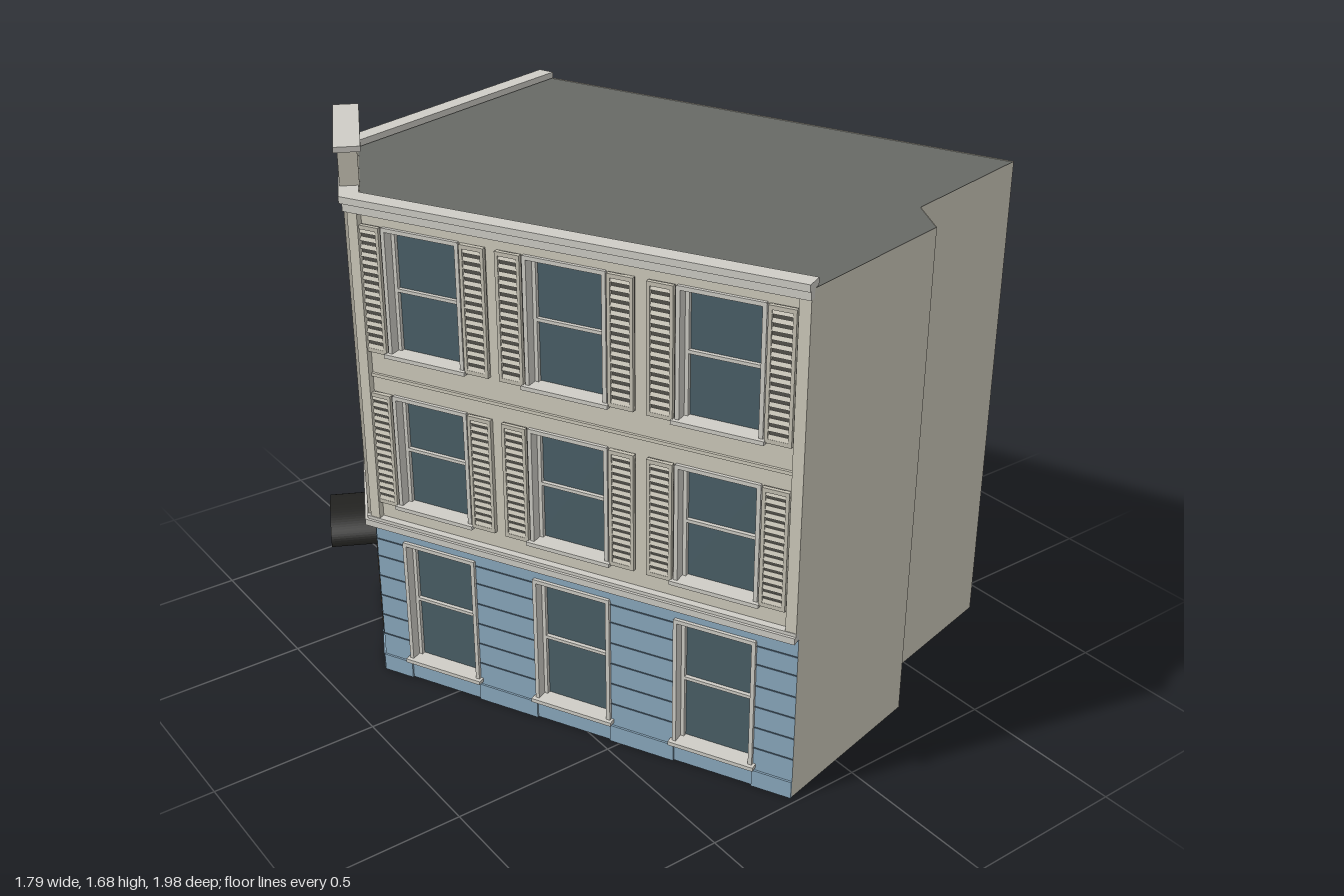
import * as THREE from 'three';

const mat = (color) => new THREE.MeshStandardMaterial({ color, side: THREE.DoubleSide });
const M = {
  blue: mat(0x8aa9bf), groove: mat(0x4c6070), wall: mat(0xcfcbbc), trim: mat(0xcfcdc6),
  shutter: mat(0xc4c0b2), dark: mat(0x55544e), glass: mat(0x4a5f67), roof: mat(0x676965),
  black: mat(0x222220), brown: mat(0x7a5a3a), green: mat(0x547266),
};

// Footprint corners [x, z], ordered so every wall's outside is its local +z
const A = [0.30, -0.96], G = [-0.60, -0.67], F = [-0.82, -0.24], E = [-0.21, 0.98];
const D = [0.325, 0.855], C = [0.40, 0.72], B = [0.895, 0.60];
const FLOOR = 0.53, TOP = 1.54;

function add(parent, name, geometry, material, x = 0, y = 0, z = 0) {
  const m = new THREE.Mesh(geometry, material);
  m.name = name;
  m.position.set(x, y, z);
  parent.add(m);
  return m;
}
const box = (parent, name, material, w, h, d, x, y, z) =>
  add(parent, name, new THREE.BoxGeometry(w, h, d), material, x, y, z);

// Local frame of a wall: x along it, y up, z outward
function wallGroup(root, name, P, Q) {
  const dx = Q[0] - P[0], dz = Q[1] - P[1];
  const g = new THREE.Group();
  g.name = name;
  g.position.set(P[0], 0, P[1]);
  g.rotation.y = Math.atan2(-dz, dx);
  g.userData.length = Math.hypot(dx, dz);
  root.add(g);
  return g;
}

function rectPath(Type, x0, y0, x1, y1) {
  return new Type([[x0, y0], [x1, y0], [x1, y1], [x0, y1]].map((p) => new THREE.Vector2(...p)));
}

function wallSheet(g, name, material, y0, y1, holes = []) {
  const s = rectPath(THREE.Shape, 0, y0, g.userData.length, y1);
  s.holes.push(...holes);
  add(g, name, new THREE.ShapeGeometry(s, 24), material);
}

// Recessed sash window: reveal, glass, rails and sill
function sashWindow(g, x, y0, y1, w) {
  const h = y1 - y0, cy = (y0 + y1) / 2, depth = 0.05, zc = -0.015;
  box(g, 'windowGlass', M.glass, w, h, 0.004, x, cy, -0.036);
  for (const s of [-1, 1]) {
    box(g, 'windowJamb', M.trim, 0.012, h, depth, x + s * (w / 2 - 0.004), cy, zc);
    box(g, 'windowStile', M.trim, 0.012, h, 0.012, x + s * (w / 2 - 0.015), cy, -0.028);
  }
  box(g, 'windowHead', M.trim, w, 0.012, depth, x, y1 - 0.004, zc);
  box(g, 'windowSill', M.trim, w + 0.02, 0.012, depth + 0.012, x, y0, zc + 0.006);
  box(g, 'sashRail', M.trim, w, 0.01, 0.012, x, cy, -0.028);
}

// Louvred shutter: dark backing, frame and tilted slats
function shutter(g, x, y0, y1, w) {
  const h = y1 - y0, cy = (y0 + y1) / 2, n = 16;
  box(g, 'shutterBack', M.dark, w, h, 0.004, x, cy, 0.003);
  for (const s of [-1, 1]) {
    box(g, 'shutterStile', M.shutter, 0.01, h, 0.014, x + s * (w / 2 - 0.005), cy, 0.007);
    box(g, 'shutterRail', M.shutter, w, 0.012, 0.014, x, cy + s * (h / 2 - 0.006), 0.007);
  }
  const slat = new THREE.BoxGeometry(w - 0.016, 0.013, 0.004);
  for (let i = 0; i < n; i++) {
    add(g, 'shutterSlat', slat, M.shutter, x, y0 + h * (i + 0.75) / (n + 0.5), 0.009).rotation.x = -0.4;
  }
}

// Thin masonry joints on the piers between the ground floor openings
function joints(g, openings) {
  const edges = [0, ...openings.flat(), g.userData.length];
  for (let i = 0; i < edges.length; i += 2) {
    const w = edges[i + 1] - edges[i];
    for (const y of [0.13, 0.2, 0.27, 0.34, 0.41, 0.47]) {
      box(g, 'masonryJoint', M.groove, w, 0.004, 0.002, edges[i] + w / 2, y, 0.001);
    }
  }
  for (let i = 0; i < edges.length; i += 2) {
    const w = edges[i + 1] - edges[i];
    box(g, 'plinth', M.blue, w, 0.055, 0.006, edges[i] + w / 2, 0.0275, 0.003);
  }
}

function pilasters(g) {
  for (const x of [0.016, g.userData.length - 0.016]) {
    box(g, 'cornerPilaster', M.wall, 0.032, 0.97, 0.02, x, 1.035, 0.01);
  }
}

// Facade with rows of windows, shutters on the two upper floors
function facade(root, name, P, Q, centres, w) {
  const g = wallGroup(root, name, P, Q), L = g.userData.length;
  const rows = [[0.07, 0.485], [0.61, 0.97], [1.1, 1.48]];
  const holes = rows.map(([a, b]) => centres.map((c) => rectPath(THREE.Path, c - w / 2, a, c + w / 2, b)));
  wallSheet(g, 'groundWall', M.blue, 0, FLOOR, holes[0]);
  wallSheet(g, 'upperWall', M.wall, FLOOR, TOP, [...holes[1], ...holes[2]]);
  rows.forEach(([a, b], row) => centres.forEach((c) => {
    sashWindow(g, c, a, b, w);
    if (row) for (const s of [-1, 1]) shutter(g, c + s * (w / 2 + 0.045), a, b, 0.076);
  }));
  joints(g, centres.map((c) => [c - w / 2, c + w / 2]));
  pilasters(g);
  box(g, 'stringCourse', M.wall, L - 0.06, 0.01, 0.008, L / 2, 1.025, 0.004);
  return g;
}

// Footprint-plane shape to horizontal geometry
const flatShape = (pts) => new THREE.Shape(pts.map(([x, z]) => new THREE.Vector2(x, -z)));

// Mitred offset of a polyline, positive outward
function offsetPath(pts, d) {
  const normal = (p, q) => new THREE.Vector2(p[1] - q[1], q[0] - p[0]).normalize();
  return pts.map((p, i) => {
    const n0 = normal(pts[Math.max(i - 1, 0)], pts[Math.max(i, 1)]);
    const last = pts.length - 1;
    const n1 = normal(pts[Math.min(i, last - 1)], pts[Math.min(i + 1, last)]);
    const k = d / (1 + n0.dot(n1));
    return [p[0] + (n0.x + n1.x) * k, p[1] + (n0.y + n1.y) * k];
  });
}

// Moulding that follows the three street walls
function moulding(root, name, inner, outer, y0, y1) {
  const path = [A, G, F, E];
  const ring = [...offsetPath(path, outer), ...offsetPath(path, inner).reverse()];
  const geo = new THREE.ExtrudeGeometry(flatShape(ring), { depth: y1 - y0, bevelEnabled: false });
  add(root, name, geo.rotateX(-Math.PI / 2), M.trim, 0, y0, 0);
}

// Arched outline standing on y0
function arch(Type, cx, w, y0, spring, rise) {
  const s = new Type();
  s.moveTo(cx - w / 2, y0);
  s.lineTo(cx + w / 2, y0);
  s.lineTo(cx + w / 2, spring);
  s.absellipse(cx, spring, w / 2, rise, 0, Math.PI, false);
  s.lineTo(cx - w / 2, y0);
  return s;
}

function cornerWall(root) {
  const g = wallGroup(root, 'cornerEntrance', G, F), L = g.userData.length, c = L / 2;
  const w = 0.22, spring = 0.36, rise = 0.06;
  wallSheet(g, 'groundWall', M.blue, 0, FLOOR, [arch(THREE.Path, c, w, 0.01, spring, rise)]);
  const eye = new THREE.Path();
  eye.absarc(c, 1.33, 0.05, 0, Math.PI * 2);
  wallSheet(g, 'upperWall', M.wall, FLOOR, TOP, [eye]);
  joints(g, [[c - w / 2, c + w / 2]]);
  pilasters(g);
  box(g, 'panelHead', M.wall, L, 0.03, 0.02, c, 1.505, 0.01);
  box(g, 'stringCourse', M.wall, L - 0.06, 0.005, 0.003, c, 1.025, 0.0015);

  // Round window
  add(g, 'roundWindowRim', new THREE.TorusGeometry(0.05, 0.009, 8, 32), M.trim, c, 1.33, 0);
  add(g, 'roundWindowGlass', new THREE.CircleGeometry(0.05, 32), M.glass, c, 1.33, -0.012);

  // Door in an arched frame
  add(g, 'door', new THREE.ShapeGeometry(arch(THREE.Shape, c, w, 0.005, spring, rise), 24), M.black, 0, 0, -0.04);
  const frame = arch(THREE.Shape, c, w, 0.005, spring, rise);
  frame.holes.push(arch(THREE.Path, c, w - 0.028, 0.02, spring, rise - 0.014));
  add(g, 'doorFrame', new THREE.ExtrudeGeometry(frame, { depth: 0.045, bevelEnabled: false, curveSegments: 24 }), M.brown, 0, 0, -0.04);
  box(g, 'doorMeetingStile', M.brown, 0.008, 0.38, 0.006, c, 0.2, -0.036);

  // Barrel awning
  const shell = new THREE.Shape();
  shell.absellipse(c, 0.39, 0.138, 0.075, 0, Math.PI, false);
  shell.absellipse(c, 0.39, 0.13, 0.067, Math.PI, 0, true);
  add(g, 'awning', new THREE.ExtrudeGeometry(shell, { depth: 0.14, bevelEnabled: false, curveSegments: 20 }), M.black);

  // Raised parapet block with a cap
  box(g, 'parapetBlock', M.wall, 0.345, 0.13, 0.055, c, 1.605, 0);
  box(g, 'parapetCap', M.trim, 0.41, 0.016, 0.075, c, 1.674, 0);
}

export function createModel() {
  const root = new THREE.Group();
  root.name = 'cornerBuilding';

  // Street facades
  facade(root, 'leftFacade', F, E, [0.224, 0.67, 1.12], 0.245);
  const back = facade(root, 'backFacade', A, G, [0.241, 0.713], 0.236);
  box(back, 'wallPlaqueFrame', M.trim, 0.115, 0.17, 0.01, 0.477, 0.3, 0.005);
  box(back, 'wallPlaque', M.green, 0.1, 0.155, 0.014, 0.477, 0.3, 0.007);
  cornerWall(root);

  // Plain party walls
  [[E, D], [D, C], [C, B], [B, A]].forEach(([p, q]) => {
    wallSheet(wallGroup(root, 'partyWall', p, q), 'plainWall', M.wall, 0, TOP);
  });

  // Flat roof
  const roof = new THREE.ShapeGeometry(flatShape([A, G, F, E, D, C, B]));
  add(root, 'roof', roof.rotateX(-Math.PI / 2), M.roof, 0, TOP - 0.003, 0);

  // Belt course and cornice
  moulding(root, 'beltCourse', 0, 0.03, 0.528, 0.548);
  moulding(root, 'beltCourseUpper', 0, 0.022, 0.548, 0.558);
  moulding(root, 'corniceLower', 0, 0.024, 1.515, 1.54);
  moulding(root, 'cornice', -0.024, 0.032, 1.54, 1.56);
  return root;
}
